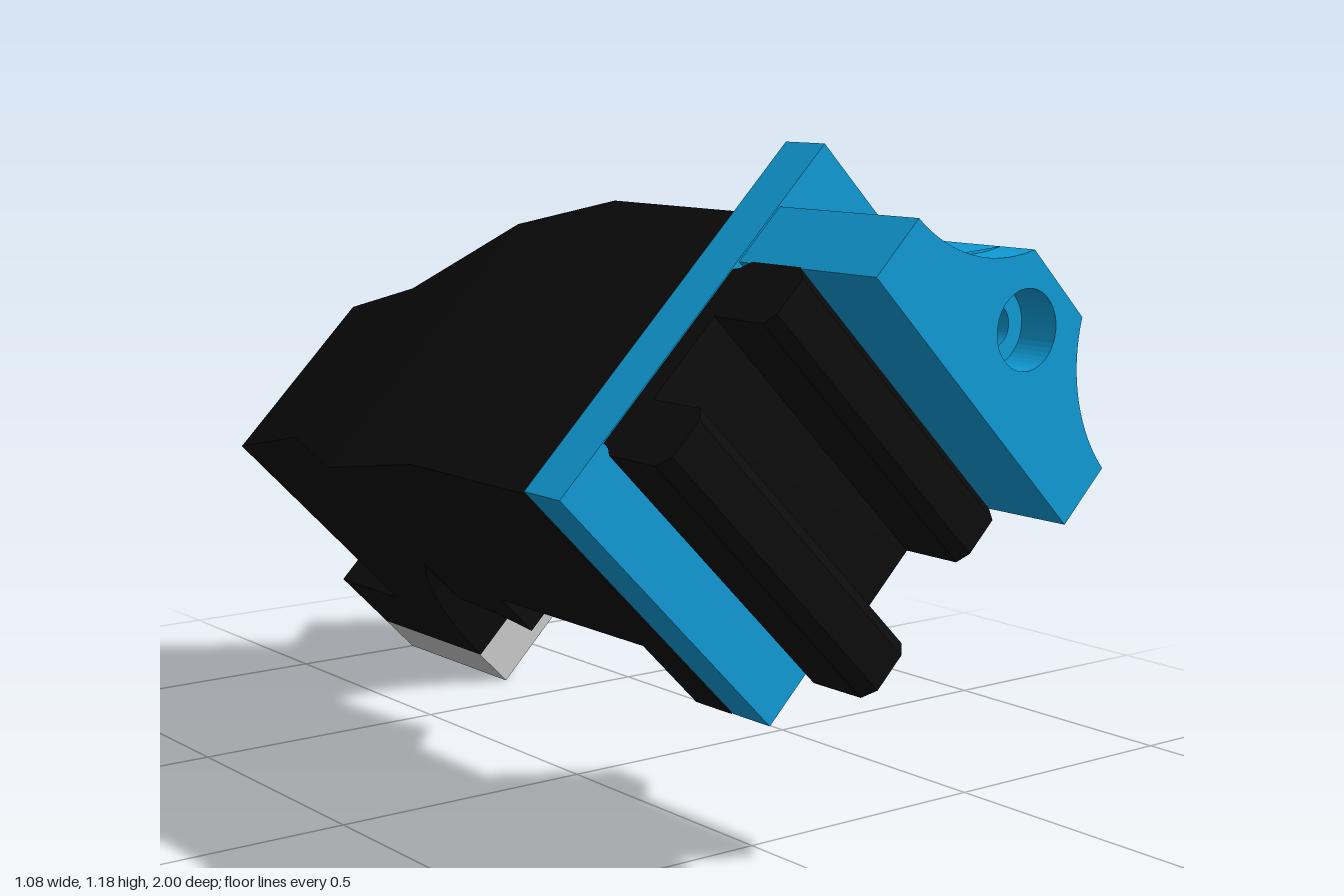
import * as THREE from 'three';

const MID = 0.38; // centre of the arm's width, in the tilted local frame
const blue = new THREE.MeshStandardMaterial({ color: 0x0f9dd8 });
const black = new THREE.MeshStandardMaterial({ color: 0x0b0b0b, flatShading: true });
const grey = new THREE.MeshStandardMaterial({ color: 0xcccccc });

function part(name, geometry, material) {
  const mesh = new THREE.Mesh(geometry, material);
  mesh.name = name;
  return mesh;
}

function polygon(points) {
  return new THREE.Shape(points.map(([x, y]) => new THREE.Vector2(x, y)));
}

function addHole(shape, x, y, r) {
  const hole = new THREE.Path();
  hole.absarc(x, y, r, 0, Math.PI * 2, true);
  shape.holes.push(hole);
  return shape;
}

// Extrude an XY shape between two z values
function alongZ(shape, z0, z1) {
  const g = new THREE.ExtrudeGeometry(shape, { depth: z1 - z0, bevelEnabled: false, curveSegments: 24 });
  return g.translate(0, 0, z0);
}

// Extrude a shape drawn in (x, -z) between two y values
function alongY(shape, y0, y1) {
  const g = new THREE.ExtrudeGeometry(shape, { depth: y1 - y0, bevelEnabled: false, curveSegments: 24 });
  return g.rotateX(-Math.PI / 2).translate(0, y0, 0);
}

function rect(x0, x1, z0, z1) {
  return polygon([[x0, -z1], [x1, -z1], [x1, -z0], [x0, -z0]]);
}

// Piecewise linear lookup, keys sorted by descending z
function lerpKeys(keys, z) {
  for (let i = 0; i < keys.length - 1; i++) {
    const [z0, v0] = keys[i], [z1, v1] = keys[i + 1];
    if (z >= z1) return THREE.MathUtils.mapLinear(Math.min(z, z0), z0, z1, v0, v1);
  }
  return keys[keys.length - 1][1];
}

// Arm: rectangular sections lofted from front (+z) to back
function armGeometry() {
  const top = [[0.3, 0.863], [-0.07, 0.773], [-0.44, 0.663], [-0.78, 0.564]];
  const half = [[-0.07, 0.282], [-0.44, 0.186]];
  const arch = (z) => -0.16 + Math.sqrt(Math.max(0, 0.555 ** 2 - (z + 0.075) ** 2));
  // [z, underside height]; repeated z values make steps
  const stations = [[0.61, 0.295], [0.52, 0.295], [0.52, 0.45], [0.3, 0.45], [0.12, 0.45]];
  const archZ = [-0.07, -0.44];
  const a0 = Math.acos(0.195 / 0.555), a1 = Math.PI - 0.11;
  for (let i = 0; i <= 28; i++) archZ.push(-0.075 + 0.555 * Math.cos(a0 + (a1 - a0) * i / 28));
  archZ.sort((a, b) => b - a).forEach((z) => stations.push([z, arch(z)]));
  stations.push([-0.63, -0.099], [-0.78, -0.099]);

  const rings = stations.map(([z, y0]) => {
    const w = lerpKeys(half, z), y1 = lerpKeys(top, z);
    return [[MID - w, y0, z], [MID + w, y0, z], [MID + w, y1, z], [MID - w, y1, z]];
  });
  const pos = [];
  const quad = (a, b, c, d) => pos.push(...a, ...b, ...c, ...a, ...c, ...d);
  for (let i = 0; i < rings.length - 1; i++) {
    const f = rings[i], b = rings[i + 1];
    for (let k = 0; k < 4; k++) {
      const n = (k + 1) % 4;
      quad(f[k], b[k], b[n], f[n]);
    }
  }
  const first = rings[0], last = rings[rings.length - 1];
  quad(first[0], first[1], first[2], first[3]);
  quad(last[3], last[2], last[1], last[0]);
  const g = new THREE.BufferGeometry();
  g.setAttribute('position', new THREE.Float32BufferAttribute(pos, 3));
  g.computeVertexNormals();
  return g;
}

// Block outline with two scooped corners
function blockShape() {
  const s = new THREE.Shape();
  const r = 0.255, cx = 0.933, flat = Math.PI - 0.055, steep = Math.acos(-0.127 / r);
  s.moveTo(0.566, 0.297);
  s.lineTo(0.678, 0.297);
  s.absarc(cx, 0.283, r, flat, steep, true);
  s.absarc(cx, 0.877, r, -steep, -flat, true);
  s.lineTo(0.566, 0.863);
  return s;
}

export function createModel() {
  const model = new THREE.Group();
  model.name = 'angledMount';
  const tilted = new THREE.Group();
  tilted.name = 'tiltedAssembly';
  tilted.rotation.z = Math.PI / 4;
  model.add(tilted);

  // Curved arm and its foot
  tilted.add(part('arm', armGeometry(), black));
  const foot = addHole(rect(0.194, 0.566, -1, -0.78), MID, 0.9, 0.03);
  tilted.add(part('foot', alongY(foot, -0.099, 0.056), black));

  // Pad under the foot with two screw holes
  const pad = rect(0.194, 0.566, -1, -0.63);
  for (const z of [-0.72, -0.9]) addHole(pad, MID, -z, 0.036);
  tilted.add(part('footPad', alongY(pad, -0.193, -0.099), grey));

  // Front plate
  const plate = polygon([[0.1, 0.293], [0.806, 0.293], [0.806, 0.866], [0.1, 0.866]]);
  tilted.add(part('frontPlate', alongZ(plate, 0.61, 0.7), blue));

  // Scooped block with a counterbored blind hole
  const block = new THREE.Group();
  block.name = 'scoopedBlock';
  block.add(part('blockBase', alongZ(addHole(blockShape(), 0.714, 0.58, 0.034), 0.7, 0.93), blue));
  block.add(part('blockFace', alongZ(addHole(blockShape(), 0.714, 0.58, 0.062), 0.93, 1), blue));
  tilted.add(block);

  // Grooved rail across the plate, mirrored half profile of [offset, z]
  const halfRail = [[0.17, 0.7], [0.175, 0.715], [0.188, 0.73], [0.188, 0.838], [0.168, 0.86],
    [0.1, 0.86], [0.08, 0.845], [0.08, 0.735]];
  const profile = [
    ...halfRail.map(([x, z]) => [MID + x, -z]),
    ...halfRail.slice().reverse().map(([x, z]) => [MID - x, -z]),
  ];
  tilted.add(part('groovedRail', alongY(polygon(profile), 0.295, 0.864), black));

  return model;
}
